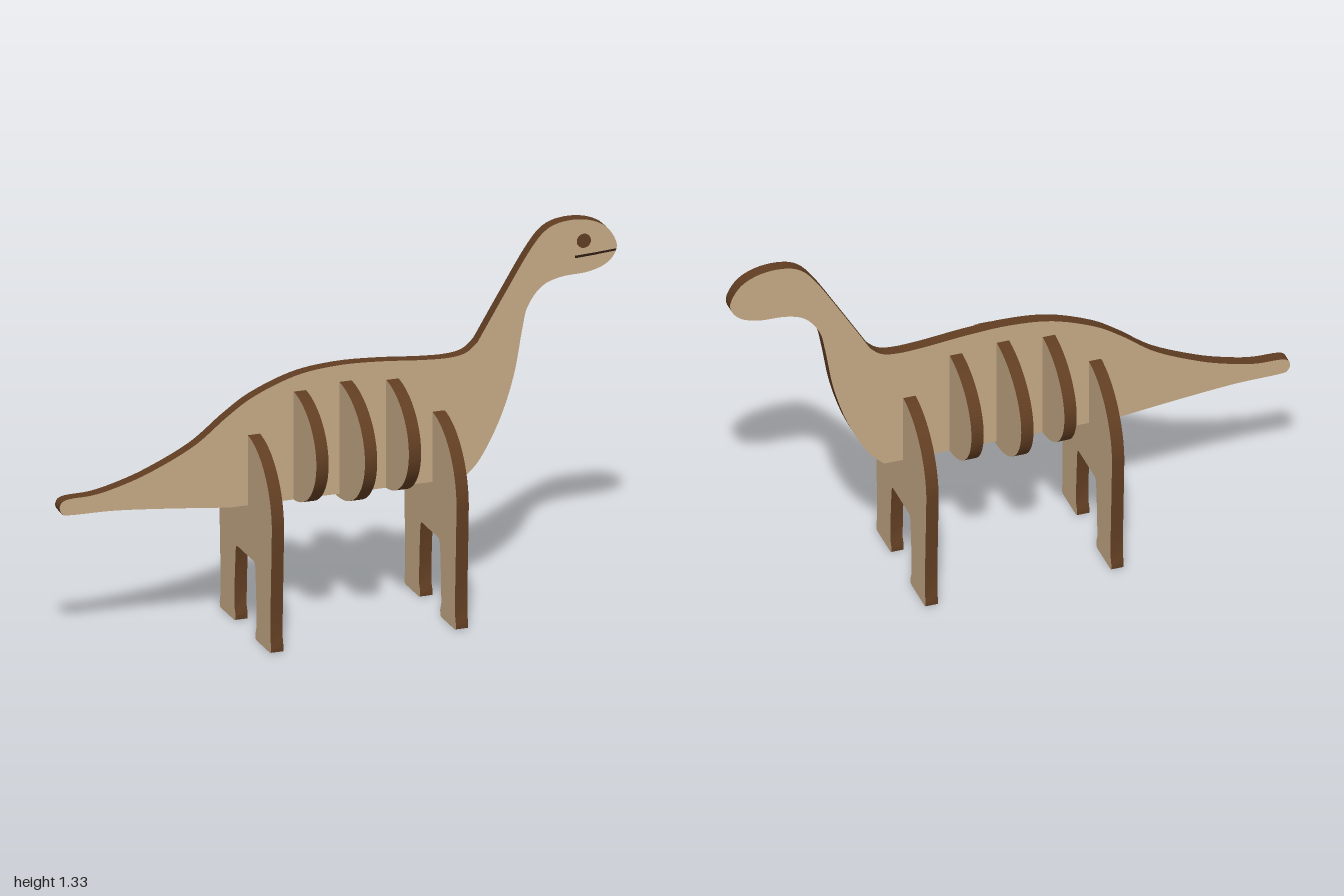
import * as THREE from 'three';
import { toCreasedNormals } from 'three/addons/utils/BufferGeometryUtils.js';

const T = 0.044; // plywood thickness

const wood = new THREE.MeshStandardMaterial({ name: 'lightWood', color: 0xc3a784 });
const edge = new THREE.MeshStandardMaterial({ name: 'burntEdge', color: 0x603d22 });
const ink = new THREE.MeshStandardMaterial({ name: 'darkEngraving', color: 0x2c1b10 });

const vecs = (pts) => pts.map(([x, y]) => new THREE.Vector2(x, y));

// Cuts a sheet from a shape: light faces, dark cut edges, centred on its thickness
function plate(name, shape, curveSegments = 12) {
  let geo = new THREE.ExtrudeGeometry(shape, { depth: T, bevelEnabled: false, curveSegments });
  geo.translate(0, 0, -T / 2);
  geo = toCreasedNormals(geo, 0.6);
  const mesh = new THREE.Mesh(geo, [wood, edge]);
  mesh.name = name;
  return mesh;
}

// Cross plate standing across the body at x
function crossPlate(name, shape, x, segments) {
  const mesh = plate(name, shape, segments);
  mesh.rotation.y = Math.PI / 2;
  mesh.position.x = x;
  return mesh;
}

function bodyShape() {
  const s = new THREE.Shape();
  s.moveTo(-0.39, 0.455);
  // underside of tail, tip, back, shoulder
  s.splineThru(vecs([
    [-0.6, 0.478], [-0.8, 0.496], [-0.965, 0.5], [-0.992, 0.51], [-1, 0.53], [-0.99, 0.55],
    [-0.96, 0.558], [-0.88, 0.561], [-0.8, 0.577], [-0.68, 0.615], [-0.52, 0.69], [-0.4, 0.78],
    [-0.3, 0.843], [-0.15, 0.898], [0, 0.915], [0.15, 0.91], [0.3, 0.896], [0.4, 0.892],
    [0.46, 0.903], [0.5, 0.935],
  ]));
  // neck, head, throat, chest
  s.splineThru(vecs([
    [0.6, 1.1], [0.69, 1.243], [0.75, 1.308], [0.82, 1.329], [0.9, 1.322], [0.965, 1.287],
    [1, 1.22], [0.97, 1.165], [0.9, 1.138], [0.8, 1.131], [0.73, 1.105], [0.68, 1.04],
    [0.66, 0.96], [0.63, 0.8], [0.58, 0.65], [0.51, 0.518], [0.45, 0.455],
  ]));
  s.closePath();
  return s;
}

function legShape() {
  // right half outline, from crotch round the foot to the hip
  const half = [
    [0.08, 0.275], [0.09, 0.27], [0.095, 0.255], [0.104, 0.15], [0.108, 0.05], [0.097, 0.025],
    [0.098, 0.004], [0.108, 0], [0.238, 0], [0.248, 0.004], [0.249, 0.02], [0.241, 0.05],
    [0.242, 0.15], [0.249, 0.3], [0.255, 0.44],
  ];
  // rounded shoulder line
  for (let i = 1; i < 20; i++) {
    const a = (i / 20) * Math.PI / 2;
    half.push([0.255 * Math.cos(a), 0.44 + 0.267 * Math.sin(a)]);
  }
  const other = half.map(([x, y]) => [-x, y]).reverse();
  return new THREE.Shape(vecs([...half, [0, 0.707], ...other]));
}

function ribShape(width, height, y) {
  const s = new THREE.Shape();
  s.absellipse(0, y, width, height, 0, Math.PI * 2, false);
  return s;
}

export function createModel() {
  const model = new THREE.Group();
  model.name = 'plywoodDinosaur';

  model.add(plate('body', bodyShape(), 6));

  // Leg plates
  model.add(crossPlate('backLegs', legShape(), -0.303, 8));
  model.add(crossPlate('frontLegs', legShape(), 0.36, 8));

  // Ribs
  model.add(crossPlate('backRib', ribShape(0.241, 0.194, 0.648), -0.138, 48));
  model.add(crossPlate('middleRib', ribShape(0.269, 0.208, 0.648), 0.026, 48));
  model.add(crossPlate('frontRib', ribShape(0.241, 0.194, 0.648), 0.194, 48));

  // Eye and mouth on the front face only
  const eye = new THREE.Mesh(new THREE.CylinderGeometry(0.025, 0.025, 0.004, 24), edge);
  eye.name = 'eye';
  eye.rotation.x = Math.PI / 2;
  eye.position.set(0.881, 1.25, T / 2 + 0.001);
  model.add(eye);

  const mouthShape = new THREE.Shape(vecs([
    [0.85, 1.192], [0.92, 1.196], [0.996, 1.202], [0.997, 1.208], [0.92, 1.203], [0.85, 1.2],
  ]));
  const mouth = new THREE.Mesh(
    new THREE.ExtrudeGeometry(mouthShape, { depth: 0.004, bevelEnabled: false }), ink);
  mouth.name = 'mouth';
  mouth.position.z = T / 2 - 0.001;
  model.add(mouth);

  return model;
}
